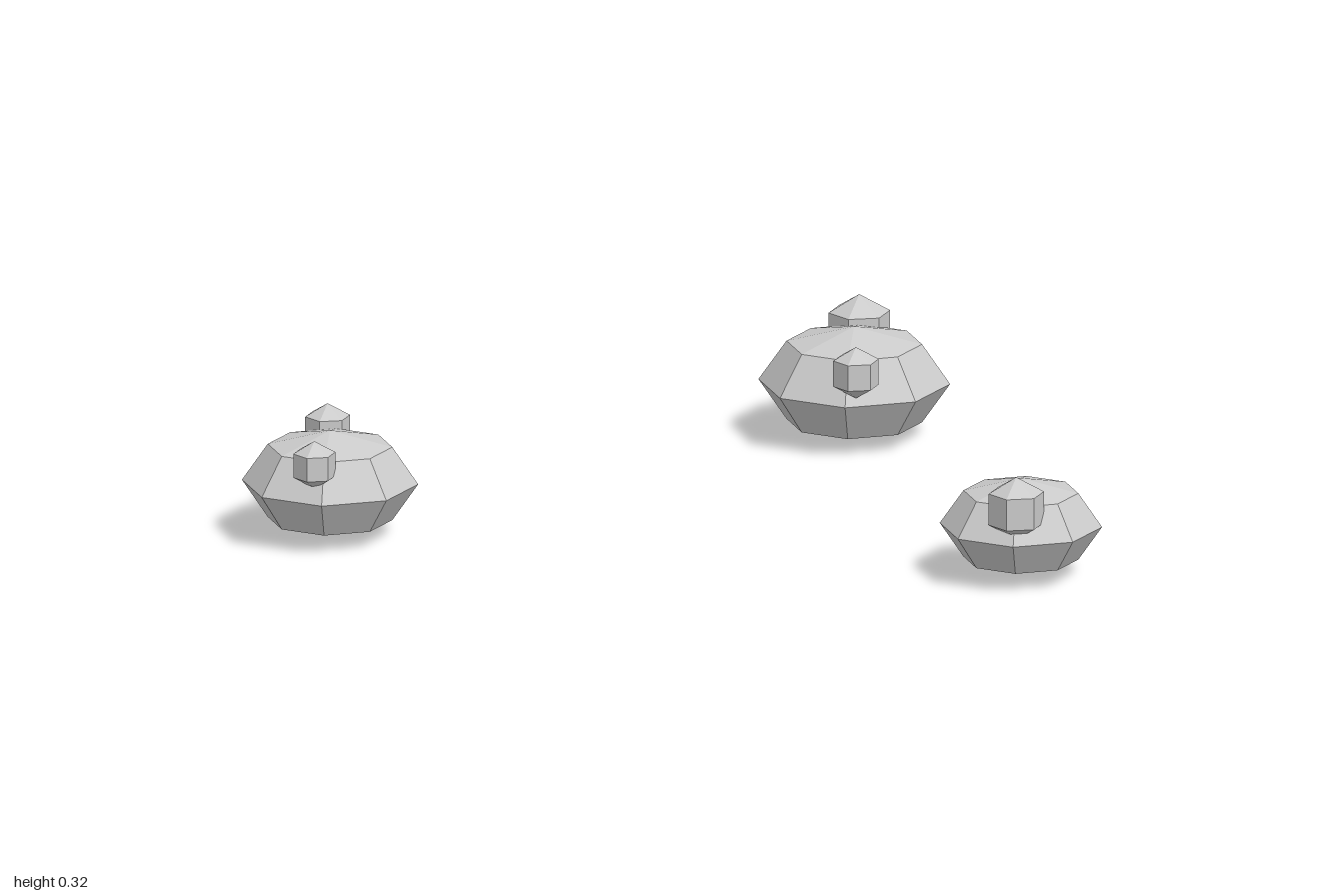
import * as THREE from 'three';

const material = new THREE.MeshStandardMaterial({ color: 0xcccccc, flatShading: true });

// Each boulder: centre, radius, half height, and its pebbles as [x, y, z, radius]
const clusters = [
  { name: 'leftRock', pos: [0.763, 0.141, -0.532], r: 0.235, h: 0.14,
    pebbles: [[0.863, 0.234, -0.634, 0.088], [0.629, 0.225, -0.363, 0.065]] },
  { name: 'rightRock', pos: [-0.784, 0.138, -0.667], r: 0.216, h: 0.131,
    pebbles: [[-0.917, 0.228, -0.566, 0.06], [-0.682, 0.226, -0.8, 0.064]] },
  { name: 'frontRock', pos: [0.292, 0.13, 0.678], r: 0.199, h: 0.119,
    pebbles: [[0.195, 0.212, 0.778, 0.079]] },
];

export function createModel() {
  const model = new THREE.Group();
  model.name = 'rockClusters';

  const boulderGeometry = new THREE.SphereGeometry(1, 8, 4);
  // Hexagonal pebble with its corners pointing along z
  const pebbleGeometry = new THREE.SphereGeometry(1, 6, 3).rotateY(Math.PI / 6);

  for (const { name, pos, r, h, pebbles } of clusters) {
    const cluster = new THREE.Group();
    cluster.name = name;

    // Squashed main boulder
    const boulder = new THREE.Mesh(boulderGeometry, material);
    boulder.name = 'boulder';
    boulder.position.set(...pos);
    boulder.scale.set(r, h, r);
    cluster.add(boulder);

    // Small pebbles sunk into its upper side
    for (const [x, y, z, size] of pebbles) {
      const pebble = new THREE.Mesh(pebbleGeometry, material);
      pebble.name = 'pebble';
      pebble.position.set(x, y, z);
      pebble.scale.setScalar(size);
      cluster.add(pebble);
    }
    model.add(cluster);
  }
  return model;
}
